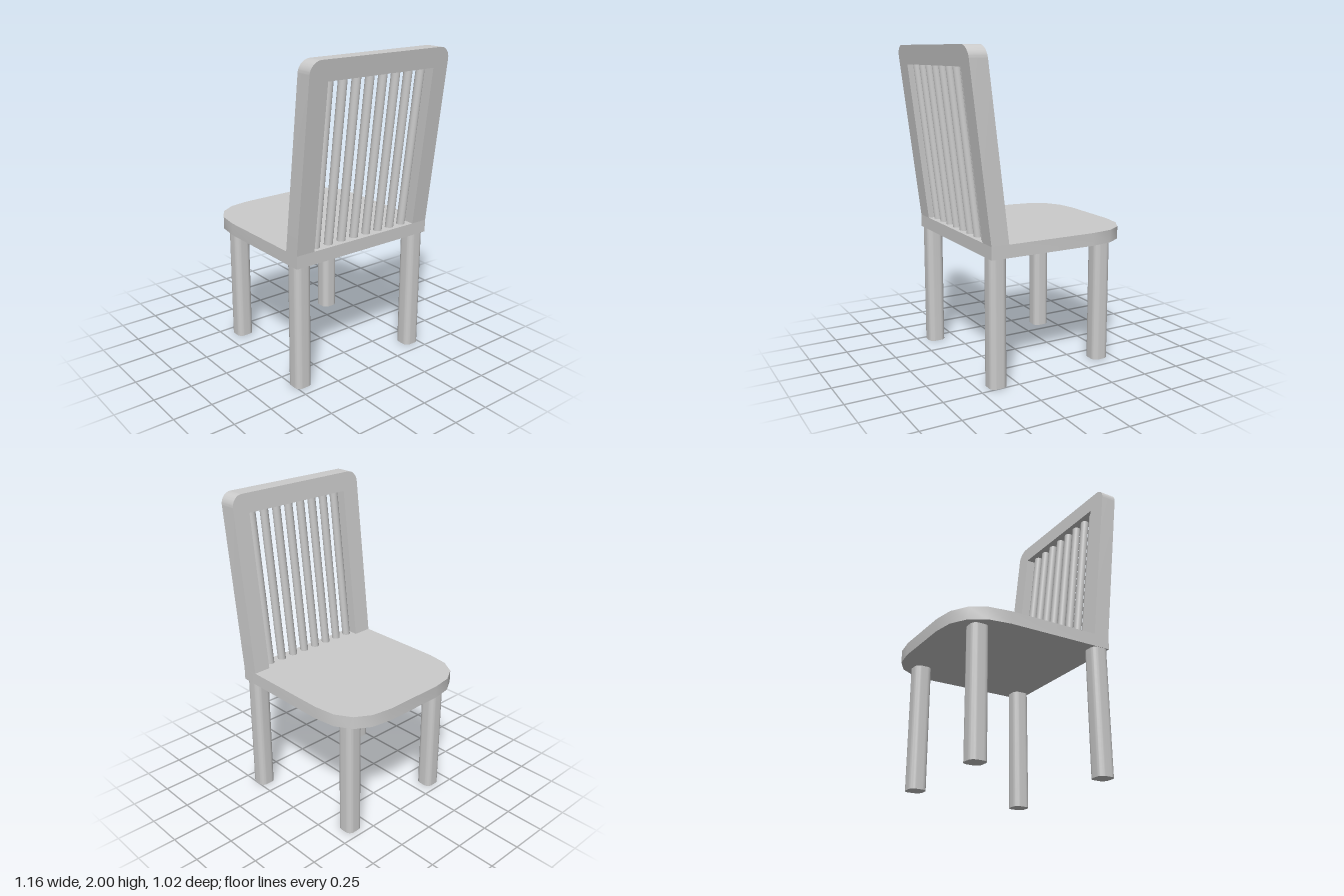
import * as THREE from 'three';
import { toCreasedNormals } from 'three/addons/utils/BufferGeometryUtils.js';

const material = new THREE.MeshStandardMaterial({ color: 0xcccccc });
const SEAT_BOTTOM = 0.795, SEAT_TOP = 0.875, LEAN = 0.123;

function addMesh(parent, name, geometry) {
  const mesh = new THREE.Mesh(geometry, material);
  mesh.name = name;
  parent.add(mesh);
  return mesh;
}

// Upright slab from a floor-plan shape drawn in (x, -z)
function slab(shape, bottom, height) {
  const geo = new THREE.ExtrudeGeometry(shape, { depth: height, bevelEnabled: false, curveSegments: 5 });
  geo.rotateX(-Math.PI / 2).translate(0, bottom, 0);
  return toCreasedNormals(geo, 0.7);
}

function roundedSquare(size, r) {
  const h = size / 2, s = new THREE.Shape();
  s.absarc(h - r, h - r, r, 0, Math.PI / 2);
  s.absarc(-h + r, h - r, r, Math.PI / 2, Math.PI);
  s.absarc(-h + r, -h + r, r, Math.PI, Math.PI * 1.5);
  s.absarc(h - r, -h + r, r, Math.PI * 1.5, Math.PI * 2);
  s.closePath();
  return s;
}

// Slide each height backwards so the part leans with the backrest
function lean(geo) {
  const p = geo.attributes.position;
  for (let i = 0; i < p.count; i++) p.setX(i, p.getX(i) + LEAN * (p.getY(i) - SEAT_TOP));
  return geo;
}

export function createModel() {
  const chair = new THREE.Group();
  chair.name = 'chair';

  // Seat: straight at the back, rounded towards the front (-x)
  const half = [[0.44, 0.512], [-0.26, 0.512], [-0.4, 0.492], [-0.5, 0.432], [-0.56, 0.332], [-0.58, 0.2]];
  const outline = [...half, ...half.map(([x, z]) => [x, -z]).reverse()];
  const seatShape = new THREE.Shape(outline.map(([x, z]) => new THREE.Vector2(x, z)));
  addMesh(chair, 'seat', slab(seatShape, SEAT_BOTTOM, SEAT_TOP - SEAT_BOTTOM));

  // Legs: rounded square posts, the front pair set further in
  const legGeo = slab(roundedSquare(0.112, 0.037), 0, SEAT_BOTTOM);
  for (const [name, x, inset] of [['frontLeg', -0.405, 0.37], ['rearLeg', 0.382, 0.45]]) {
    for (const side of [-1, 1]) {
      addMesh(chair, name, legGeo).position.set(x, 0, side * inset + 0.004);
    }
  }

  // Backrest frame: two stiles and a top rail with rounded outer corners
  const w = 0.512, r = 0.075, top = 2, rail = 1.88;
  const frame = new THREE.Shape();
  frame.moveTo(-w, SEAT_TOP);
  frame.lineTo(-0.385, SEAT_TOP);
  frame.lineTo(-0.385, rail);
  frame.lineTo(0.398, rail);
  frame.lineTo(0.398, SEAT_TOP);
  frame.lineTo(w, SEAT_TOP);
  frame.lineTo(w, top - r);
  frame.absarc(w - r, top - r, r, 0, Math.PI / 2);
  frame.absarc(-w + r, top - r, r, Math.PI / 2, Math.PI);
  frame.closePath();
  const frameGeo = new THREE.ExtrudeGeometry(frame, { depth: 0.11, bevelEnabled: false, curveSegments: 8 });
  frameGeo.rotateY(Math.PI / 2).translate(0.33, 0, 0);
  // The front face is very slightly skewed across the width
  const p = frameGeo.attributes.position;
  for (let i = 0; i < p.count; i++) {
    if (p.getX(i) < 0.38) p.setX(i, p.getX(i) + 0.01 * p.getZ(i));
  }
  addMesh(chair, 'backFrame', toCreasedNormals(lean(frameGeo), 0.6));

  // Spindles: eight round bars between the seat and the top rail
  const barHeight = rail - SEAT_TOP + 0.02;
  for (let i = 0; i < 8; i++) {
    const bar = new THREE.CylinderGeometry(0.027, 0.027, barHeight, 20);
    bar.translate(0.389, SEAT_TOP - 0.01 + barHeight / 2, (i - 3.5) * 0.0975);
    addMesh(chair, 'spindle', lean(bar));
  }
  return chair;
}
